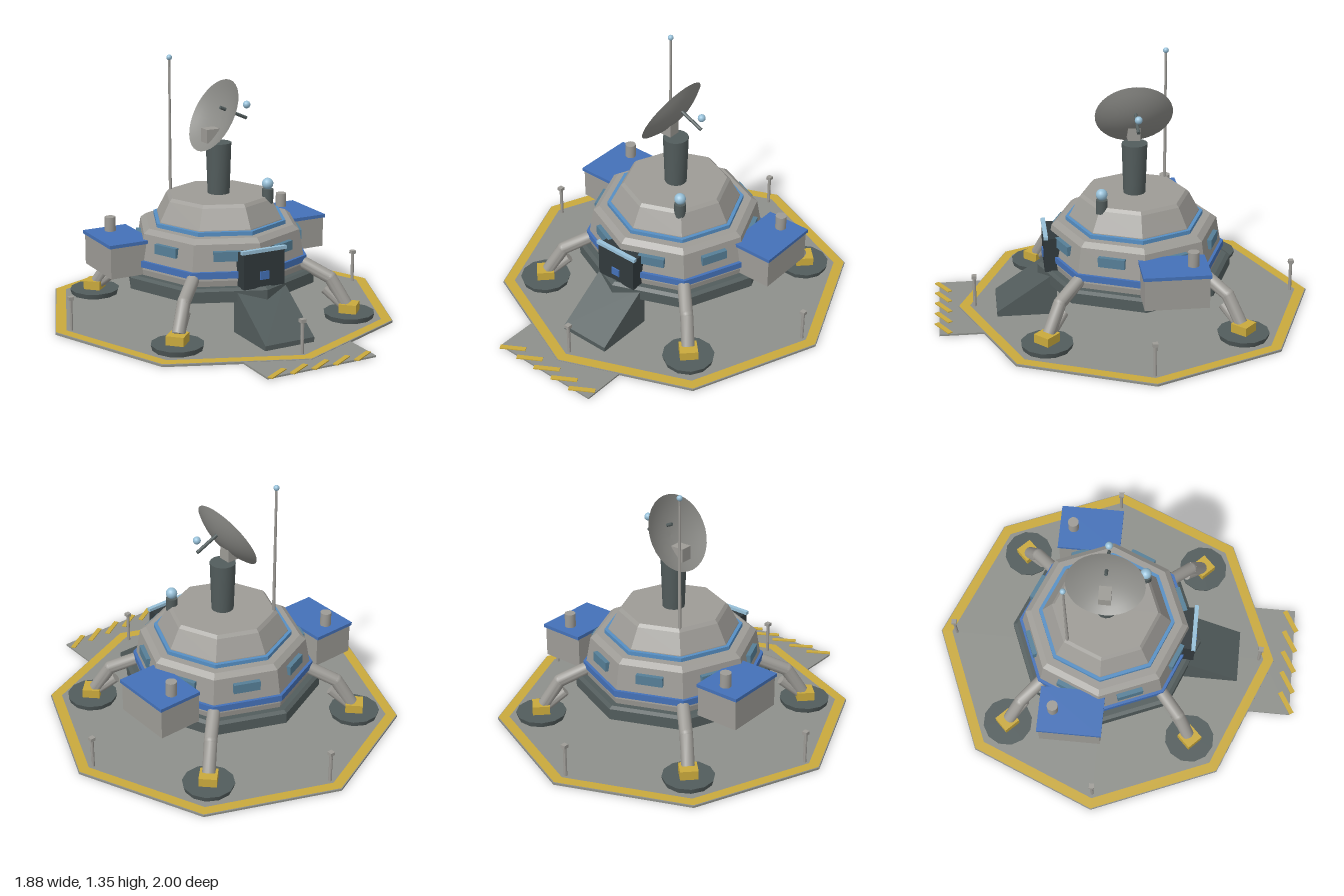
import * as THREE from 'three';
import { toCreasedNormals } from 'three/addons/utils/BufferGeometryUtils.js';

const CZ = -0.062; // centre of the octagonal pad and hull
const mat = (name, color, side = THREE.FrontSide) => {
  const m = new THREE.MeshStandardMaterial({ color, side });
  m.name = name;
  return m;
};

export function createModel() {
  const hullGrey = mat('hull grey', 0x9d9b96);
  const padGrey = mat('pad grey', 0x8e908b);
  const dishGrey = mat('dish grey', 0x8b8b87, THREE.DoubleSide);
  const dark = mat('dark metal', 0x525c5c);
  const black = mat('door black', 0x31393c);
  const blue = mat('trim blue', 0x4471b8);
  const sky = mat('upper trim blue', 0x568fc4);
  const glass = mat('window glass', 0x567f97);
  const pale = mat('lamp blue', 0x97c0d8);
  const yellow = mat('safety yellow', 0xc9a93c);

  const model = new THREE.Group();
  model.name = 'landingStation';
  const body = new THREE.Group(); // everything symmetrical about the pad centre
  body.name = 'station';
  body.position.z = CZ;
  model.add(body);

  const add = (name, geo, material, x = 0, y = 0, z = 0, parent = body) => {
    const m = new THREE.Mesh(geo, material);
    m.name = name;
    m.position.set(x, y, z);
    parent.add(m);
    return m;
  };
  const box = (w, h, d) => new THREE.BoxGeometry(w, h, d);
  const cyl = (rTop, rBottom, h, n = 16) => toCreasedNormals(new THREE.CylinderGeometry(rTop, rBottom, h, n), 0.7);
  const ball = (r) => new THREE.SphereGeometry(r, 16, 12);
  const octagon = (pts) => toCreasedNormals(
    new THREE.LatheGeometry(pts.map(([r, y]) => new THREE.Vector2(r, y)), 8), 0.1);
  const rod = (name, a, b, r, material, parent = body) => {
    const from = new THREE.Vector3(...a), to = new THREE.Vector3(...b);
    const dir = to.clone().sub(from);
    const m = add(name, cyl(r, r, dir.length(), 14), material, 0, 0, 0, parent);
    m.position.copy(from).add(to).multiplyScalar(0.5);
    m.quaternion.setFromUnitVectors(new THREE.Vector3(0, 1, 0), dir.normalize());
    return m;
  };

  // Landing pad with painted border
  add('pad', octagon([[0, 0], [0.938, 0], [0.938, 0.011], [0, 0.011]]), padGrey);
  const border = add('padBorder', new THREE.RingGeometry(0.877, 0.934, 8), yellow, 0, 0.0135, 0);
  border.rotation.x = -Math.PI / 2;

  // Entry apron with slanted warning stripes
  add('apron', box(0.61, 0.009, 0.32), padGrey, 0, 0.0045, 0.817, model);
  for (let i = -2; i <= 2; i++) {
    const stripe = add('warningStripe', box(0.135, 0.006, 0.026), yellow, i * 0.12, 0.011, 0.955, model);
    stripe.rotation.y = 0.54;
  }

  // Marker posts
  for (let i = 0; i < 4; i++) {
    const a = i * Math.PI / 2, x = 0.85 * Math.sin(a), z = 0.85 * Math.cos(a);
    add('markerPost', cyl(0.009, 0.009, 0.165, 8), hullGrey, x, 0.09, z);
    add('markerCap', box(0.027, 0.018, 0.027), hullGrey, x, 0.18, z);
  }

  // Octagonal hull tiers
  add('hullBase', octagon([[0, 0.18], [0.515, 0.18], [0.515, 0.238], [0.495, 0.25], [0, 0.25]]), dark);
  add('lowerHull', octagon([[0.462, 0.245], [0.468, 0.28], [0.436, 0.462], [0.405, 0.485], [0, 0.485]]), hullGrey);
  add('upperHull', octagon([[0.348, 0.48], [0.342, 0.51], [0.288, 0.612], [0.272, 0.628], [0, 0.628]]), hullGrey);
  add('lowerTrim', octagon([[0.44, 0.293], [0.476, 0.293], [0.476, 0.327], [0.44, 0.327]]), blue);
  add('upperTrim', octagon([[0.33, 0.484], [0.362, 0.484], [0.362, 0.506], [0.33, 0.506]]), sky);

  // One window on each hull face
  for (let i = 0; i < 8; i++) {
    const a = (i + 0.5) * Math.PI / 4;
    const w = add('window', box(0.14, 0.05, 0.04), glass, 0.412 * Math.sin(a), 0.405, 0.412 * Math.cos(a));
    w.rotation.y = a;
  }

  // Side pods
  for (const s of [-1, 1]) {
    add('sidePod', box(0.235, 0.165, 0.325), hullGrey, s * 0.517, 0.335, -0.2, model);
    add('podLid', box(0.245, 0.018, 0.34), blue, s * 0.52, 0.424, -0.2, model);
    add('podVent', cyl(0.029, 0.029, 0.08), hullGrey, s * 0.52, 0.468, -0.295, model);
  }

  // Landing legs
  for (let i = 0; i < 4; i++) {
    const leg = new THREE.Group();
    leg.name = 'landingLeg';
    leg.rotation.y = Math.PI / 4 + i * Math.PI / 2;
    body.add(leg);
    add('footPad', cyl(0.134, 0.126, 0.028, 12), dark, 0, 0.026, 0.707, leg);
    add('footBlock', box(0.092, 0.048, 0.092), yellow, 0, 0.063, 0.707, leg);
    rod('upperLeg', [0, 0.302, 0.42], [0, 0.215, 0.605], 0.034, hullGrey, leg);
    rod('lowerLeg', [0, 0.215, 0.605], [0, 0.08, 0.69], 0.034, hullGrey, leg);
    add('hipJoint', ball(0.034), hullGrey, 0, 0.302, 0.42, leg);
    add('kneeJoint', ball(0.034), hullGrey, 0, 0.215, 0.605, leg);
    rod('footStrut', [0, 0.07, 0.675], [0, 0.152, 0.575], 0.025, hullGrey, leg);
  }

  // Doorway and ramp
  add('door', box(0.235, 0.185, 0.1), black, 0, 0.337, 0.37, model);
  add('doorLight', box(0.255, 0.018, 0.022), pale, 0, 0.437, 0.412, model);
  add('doorPanel', box(0.05, 0.042, 0.008), blue, 0, 0.308, 0.423, model);
  const side = new THREE.Shape([[0.675, 0.011], [0.675, 0.036], [0.38, 0.238], [0.36, 0.238], [0.36, 0.011]]
    .map(([z, y]) => new THREE.Vector2(-z, y)));
  const ramp = add('ramp', new THREE.ExtrudeGeometry(side, { depth: 0.28, bevelEnabled: false }), dark, -0.14, 0, 0, model);
  ramp.rotation.y = Math.PI / 2;

  // Mast and tilted dish
  add('mast', cyl(0.067, 0.058, 0.27), dark, 0, 0.762, 0);
  add('dishMount', box(0.075, 0.072, 0.065), hullGrey, -0.048, 0.94, 0);
  const dish = new THREE.Group();
  dish.name = 'dish';
  dish.position.set(-0.03, 1.043, 0);
  dish.quaternion.setFromUnitVectors(new THREE.Vector3(0, 1, 0), new THREE.Vector3(0.88, -0.475, 0).normalize());
  body.add(dish);
  const bowl = [];
  for (let i = 0; i <= 6; i++) {
    const r = 0.202 * (1 - i / 6);
    bowl.push(new THREE.Vector2(r, 0.055 * (1 - (r / 0.202) ** 2)));
  }
  add('dishBowl', new THREE.LatheGeometry(bowl, 32), dishGrey, 0, 0, 0, dish);
  rod('feedArm', [0.01, 1.08, 0], [0.165, 1.01, 0], 0.009, dark);
  add('feedBall', ball(0.02), pale, 0.167, 1.08, 0);

  // Whip antenna and beacon
  add('antenna', cyl(0.006, 0.009, 0.8, 8), hullGrey, -0.19, 0.92, -0.185);
  add('antennaTip', ball(0.015), pale, -0.19, 1.33, -0.185);
  add('beaconBase', cyl(0.03, 0.03, 0.09), dark, 0.186, 0.622, 0.19);
  add('beacon', ball(0.03), pale, 0.186, 0.695, 0.19);

  return model;
}
